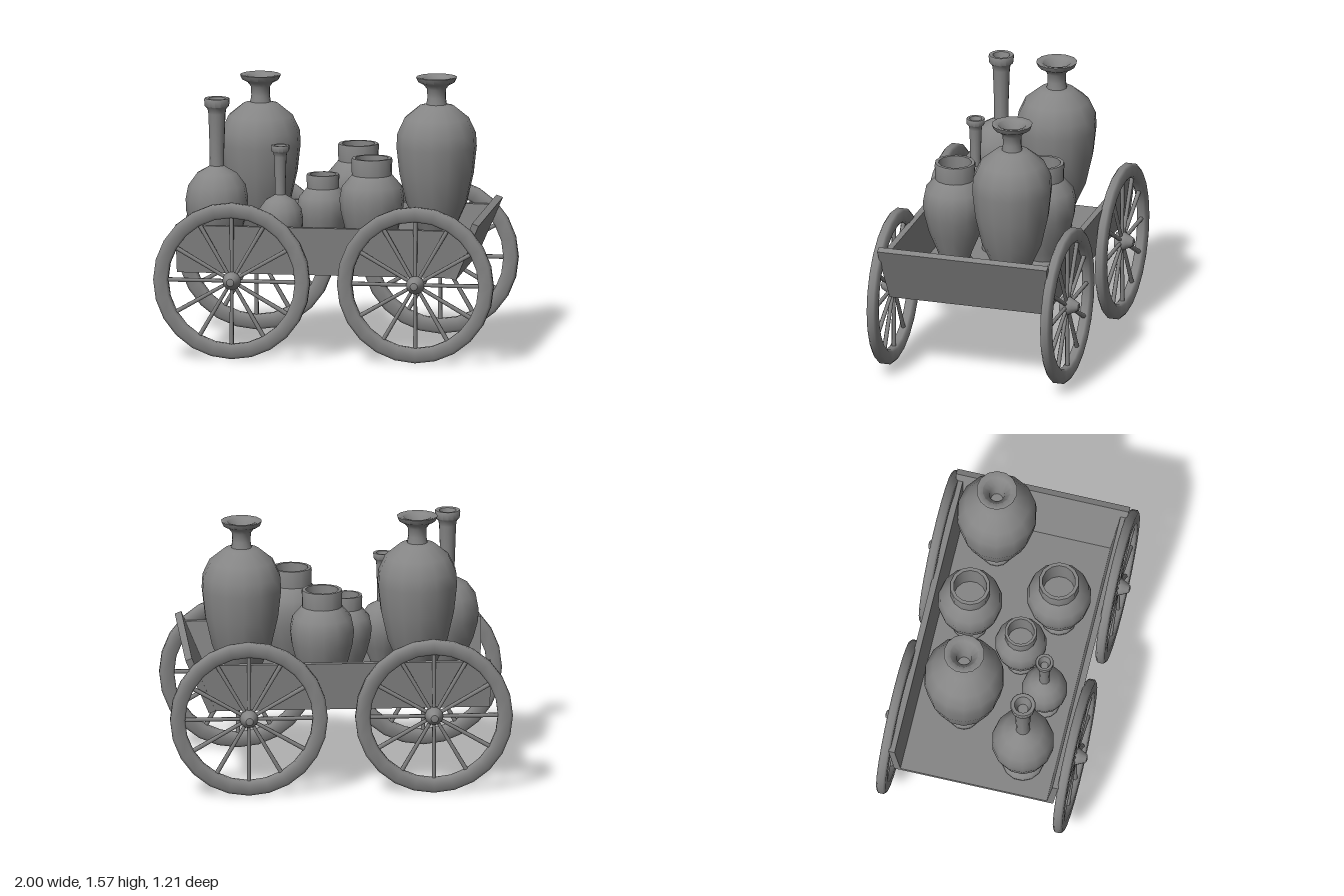
import * as THREE from 'three';
import { toCreasedNormals } from 'three/addons/utils/BufferGeometryUtils.js';

const darkGrey = new THREE.MeshStandardMaterial({ color: 0x858585 });
const FLOOR = 0.52;

function mesh(geometry, name) {
  const m = new THREE.Mesh(geometry, darkGrey);
  m.name = name;
  return m;
}

// Turned shape from [radius, height] pairs
function turned(profile, sides, name, crease = 0.75) {
  const pts = profile.map(([r, y]) => new THREE.Vector2(r, y));
  return mesh(toCreasedNormals(new THREE.LatheGeometry(pts, sides), crease), name);
}

// Board whose eight corners are given by a rule on the corner signs
function board(name, corner) {
  const geo = new THREE.BoxGeometry(2, 2, 2).toNonIndexed();
  const p = geo.attributes.position;
  for (let i = 0; i < p.count; i++) {
    p.setXYZ(i, ...corner(p.getX(i) > 0, p.getY(i) > 0, p.getZ(i) > 0));
  }
  geo.computeVertexNormals();
  return mesh(geo, name);
}

// Heights are measured from the cart floor; each profile ends inside the mouth
const urnProfile = [
  [0, 0], [0.087, 0], [0.092, 0.02], [0.087, 0.04], [0.07, 0.055], [0.082, 0.09],
  [0.128, 0.2], [0.178, 0.31], [0.217, 0.48], [0.235, 0.64], [0.23, 0.72],
  [0.188, 0.81], [0.102, 0.88], [0.06, 0.89], [0.054, 0.93], [0.056, 0.98],
  [0.075, 1.005], [0.108, 1.022], [0.12, 1.05], [0.112, 1.053], [0.082, 1.045],
  [0.045, 0.99], [0.035, 0.9], [0, 0.9],
];
const potProfile = [
  [0, 0], [0.102, 0], [0.107, 0.02], [0.102, 0.04], [0.09, 0.05], [0.107, 0.1],
  [0.153, 0.21], [0.181, 0.32], [0.19, 0.4], [0.175, 0.475], [0.123, 0.535],
  [0.117, 0.54], [0.12, 0.63], [0.117, 0.64], [0.097, 0.64], [0.095, 0.46], [0, 0.46],
];
const bottleProfile = [
  [0, 0], [0.117, 0], [0.122, 0.02], [0.112, 0.04], [0.09, 0.05], [0.102, 0.09],
  [0.153, 0.21], [0.18, 0.31], [0.183, 0.38], [0.168, 0.46], [0.117, 0.53],
  [0.055, 0.565], [0.042, 0.575], [0.042, 0.65], [0.05, 0.88], [0.055, 0.91],
  [0.071, 0.925], [0.075, 0.965], [0.071, 0.972], [0.05, 0.97], [0.03, 0.9], [0, 0.9],
];

// Rim cross-section: radius against width, counter-clockwise
const rimProfile = [
  [0.385, -0.028], [0.445, -0.028], [0.46, -0.016], [0.46, 0.016], [0.445, 0.028],
  [0.385, 0.028], [0.373, 0.016], [0.373, -0.016], [0.385, -0.028],
];

function wheel(name) {
  const g = new THREE.Group();
  g.name = name;
  const rim = turned(rimProfile, 24, 'rim', 1.2);
  rim.rotation.x = Math.PI / 2;
  g.add(rim);
  for (let i = 0; i < 12; i++) {
    const geo = new THREE.CylinderGeometry(0.014, 0.011, 0.36, 6);
    geo.translate(0, 0.205, 0);
    const spoke = mesh(geo, 'spoke');
    spoke.rotation.z = (i * Math.PI) / 6;
    g.add(spoke);
  }
  // Hub runs from the cart side to a rounded outer cap
  const hub = turned([
    [0, -0.035], [0.05, -0.035], [0.055, -0.01], [0.054, 0.01], [0.042, 0.035],
    [0.032, 0.055], [0.022, 0.071], [0, 0.076],
  ], 12, 'hub');
  hub.rotation.x = Math.PI / 2;
  g.add(hub);
  return g;
}

export function createModel() {
  const model = new THREE.Group();
  model.name = 'jarCart';

  // Cart bed, open at the -x end
  const bed = new THREE.Group();
  bed.name = 'cartBed';
  bed.add(board('floor', (x, y, z) => [x ? 0.75 : -0.87, y ? FLOOR : 0.497, z ? 0.473 : -0.473]));
  for (const s of [1, -1]) {
    bed.add(board(s > 0 ? 'frontSideBoard' : 'backSideBoard', (x, y, z) => {
      const outer = z === s > 0;
      return [
        x ? (y ? 0.865 : 0.745) : (y ? -0.875 : -0.87),
        y ? 0.78 : 0.497,
        s * (y ? (outer ? 0.508 : 0.472) : (outer ? 0.475 : 0.435)),
      ];
    }));
  }
  // Leaning end board, wider at the top
  bed.add(board('endBoard', (x, y, z) => [
    y ? (x ? 0.91 : 0.872) : (x ? 0.77 : 0.732),
    y ? (x ? 0.815 : 0.83) : (x ? 0.485 : 0.5),
    (z ? 1 : -1) * (y ? 0.517 : 0.483),
  ]));
  model.add(bed);

  // Wheels
  for (const x of [-0.54, 0.54]) {
    for (const s of [1, -1]) {
      const w = wheel(s > 0 ? 'frontWheel' : 'backWheel');
      w.position.set(x, 0.462, s * 0.529);
      if (s < 0) w.rotation.y = Math.PI;
      model.add(w);
    }
  }

  // Load: profile, name, x, z, scale
  const load = [
    [urnProfile, 'tallUrn', -0.465, -0.153, 1],
    [urnProfile, 'tallUrn', 0.564, -0.2, 1],
    [potProfile, 'widePot', 0.097, -0.25, 1],
    [potProfile, 'widePot', 0.245, 0.247, 1],
    [potProfile, 'smallPot', -0.064, 0.092, 0.8],
    [bottleProfile, 'longNeckBottle', -0.666, 0.247, 1],
    [bottleProfile, 'smallBottle', -0.288, 0.287, 0.73],
  ];
  for (const [profile, name, x, z, size] of load) {
    const jar = turned(profile, 14, name);
    jar.position.set(x, FLOOR, z);
    jar.scale.setScalar(size);
    model.add(jar);
  }
  return model;
}
